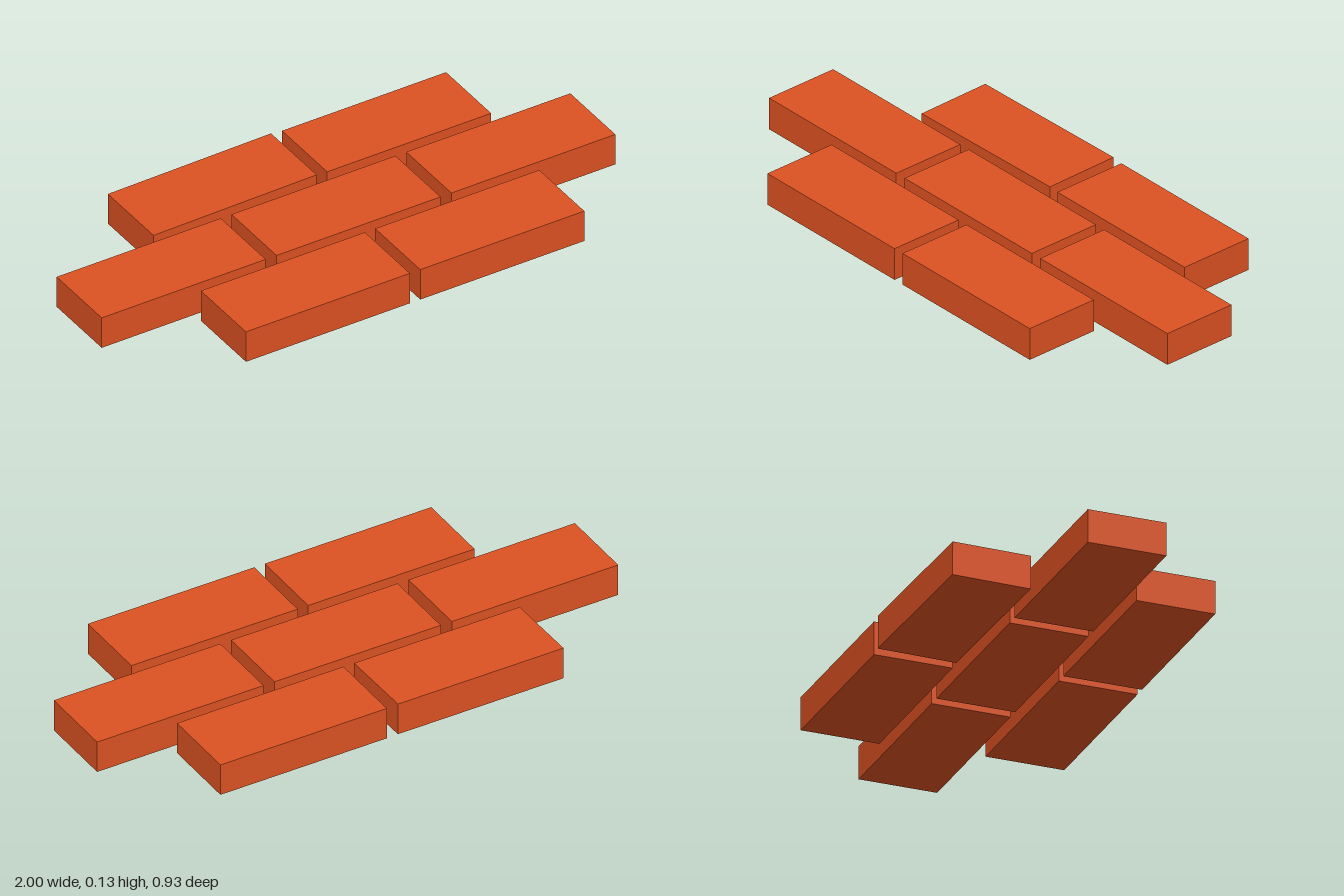
import * as THREE from 'three';

// Three courses of bricks in running bond
const SIZE = [0.638, 0.12, 0.28];
const COURSES = [
  { name: 'frontBrick', z: 0.322, xs: [-0.32, 0.358] },
  { name: 'middleBrick', z: 0.001, xs: [-0.68, 0, 0.68] },
  { name: 'backBrick', z: -0.32, xs: [-0.28, 0.398] },
];

export function createModel() {
  const group = new THREE.Group();
  group.name = 'brickPaving';
  const material = new THREE.MeshStandardMaterial({ color: 0xdd5222 });
  const geometry = new THREE.BoxGeometry(...SIZE);

  for (const { name, z, xs } of COURSES) {
    xs.forEach((x, i) => {
      const brick = new THREE.Mesh(geometry, material);
      brick.name = `${name}${i + 1}`;
      brick.position.set(x, 0.065, z);
      // One brick sits slightly askew
      if (name === 'backBrick' && i === 0) brick.rotation.set(0.008, 0.008, 0.008);
      group.add(brick);
    });
  }
  return group;
}
